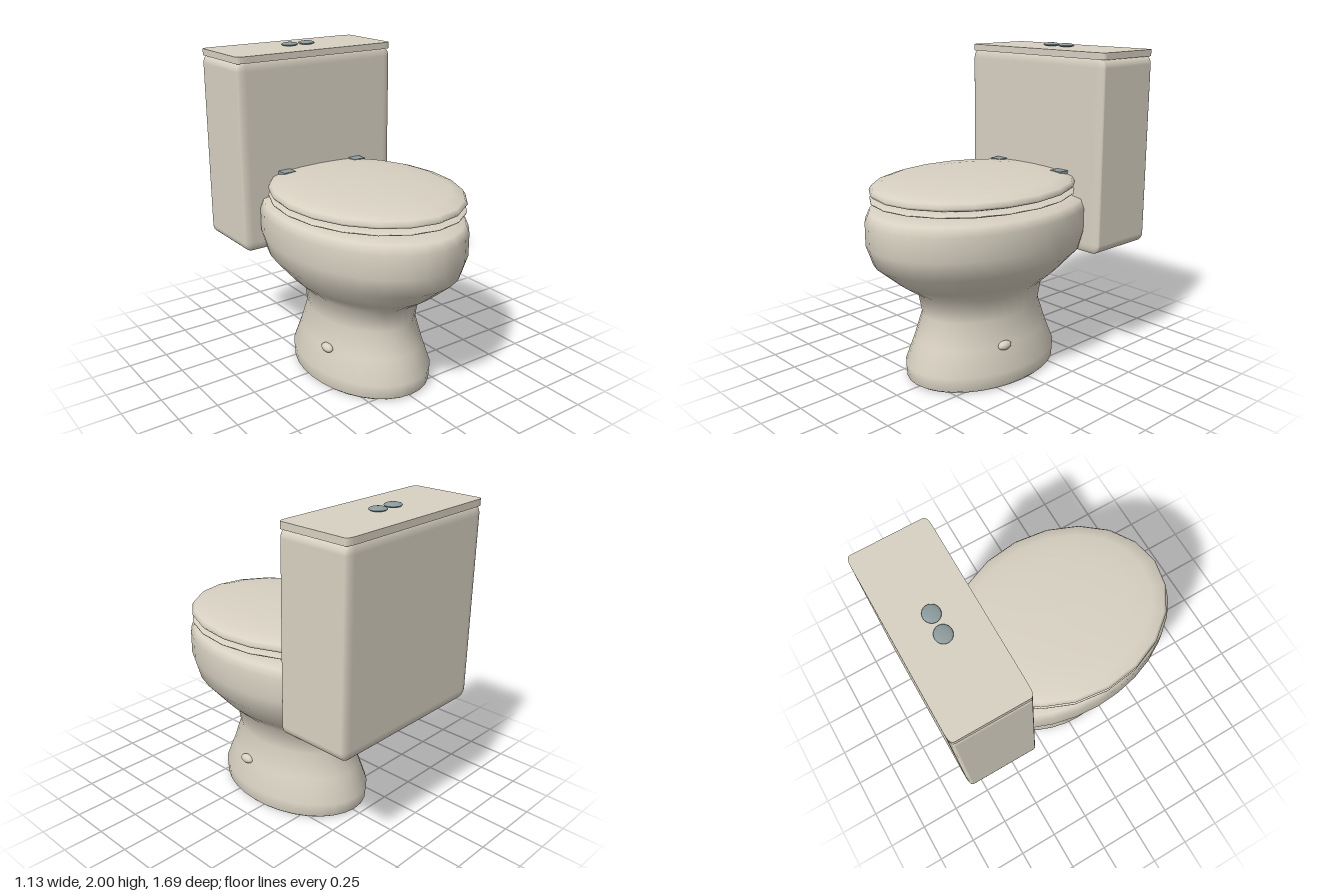
import * as THREE from 'three';
import { RoundedBoxGeometry } from 'three/addons/geometries/RoundedBoxGeometry.js';

export function createModel() {
  const model = new THREE.Group();
  model.name = 'toilet';

  const ceramic = new THREE.MeshStandardMaterial({ color: 0xd8d1c2, side: THREE.DoubleSide });
  ceramic.name = 'ceramic';
  const metal = new THREE.MeshStandardMaterial({ color: 0x8c9b9d });
  metal.name = 'metal';

  function add(name, geometry, material, position, scale = [1, 1, 1]) {
    const mesh = new THREE.Mesh(geometry, material);
    mesh.name = name;
    mesh.position.set(...position);
    mesh.scale.set(...scale);
    model.add(mesh);
    return mesh;
  }

  // Oval part: a turned profile of [radius, y] points, stretched along z
  function oval(name, profile, segments, z, stretch) {
    const points = profile.map(([r, y]) => new THREE.Vector2(r, y));
    return add(name, new THREE.LatheGeometry(points, segments), ceramic, [0, 0, z], [1, 1, stretch]);
  }

  // Pedestal and bowl in one shell, open underneath
  oval('bowl', [
    [0.36, 0], [0.375, 0.015], [0.38, 0.1], [0.335, 0.25], [0.295, 0.41], [0.315, 0.55],
    [0.41, 0.64], [0.52, 0.77], [0.55, 0.89], [0.55, 1.03], [0.53, 1.085], [0.45, 1.1], [0, 1.1],
  ], 32, 0.07, 1.41);

  // Thin seat under a gently domed lid
  oval('seat', [
    [0, 1.09], [0.4, 1.103], [0.5, 1.122], [0.548, 1.138], [0.548, 1.145], [0.5, 1.16], [0, 1.162],
  ], 20, 0.12, 1.24);
  oval('lid', [
    [0, 1.158], [0.5, 1.16], [0.54, 1.175], [0.55, 1.19], [0.535, 1.215],
    [0.47, 1.238], [0.33, 1.255], [0.15, 1.264], [0, 1.266],
  ], 20, 0.12, 1.24);

  // Cistern: softened box, stretched to size
  add('tank', new RoundedBoxGeometry(1, 1, 1, 3, 0.05), ceramic, [0, 1.347, -0.61], [1.13, 1.195, 0.47]);

  // Cistern cover with rounded corners
  const w = 0.565, d = 0.235, rx = 0.06, rz = 0.025;
  const outline = new THREE.Shape();
  outline.moveTo(-w + rx, -d);
  outline.lineTo(w - rx, -d);
  outline.quadraticCurveTo(w, -d, w, -d + rz);
  outline.lineTo(w, d - rz);
  outline.quadraticCurveTo(w, d, w - rx, d);
  outline.lineTo(-w + rx, d);
  outline.quadraticCurveTo(-w, d, -w, d - rz);
  outline.lineTo(-w, -d + rz);
  outline.quadraticCurveTo(-w, -d, -w + rx, -d);
  const cover = new THREE.ExtrudeGeometry(outline, { depth: 0.041, bevelEnabled: false, curveSegments: 5 });
  cover.rotateX(-Math.PI / 2);
  add('tankCover', cover, ceramic, [0, 1.934, -0.61]);

  // Mirrored fittings
  const ball = new THREE.SphereGeometry(1, 24, 12);
  for (const [side, s] of [['left', 1], ['right', -1]]) {
    add(side + 'FlushButton', ball, metal, [s * 0.063, 1.986, -0.61], [0.054, 0.013, 0.05]);
    add(side + 'Hinge', new THREE.BoxGeometry(0.085, 0.06, 0.09), metal, [s * 0.268, 1.217, -0.35]);
    add(side + 'BoltCap', ball, ceramic, [s * 0.33, 0.255, 0.18], [0.028, 0.028, 0.048]);
  }

  return model;
}
